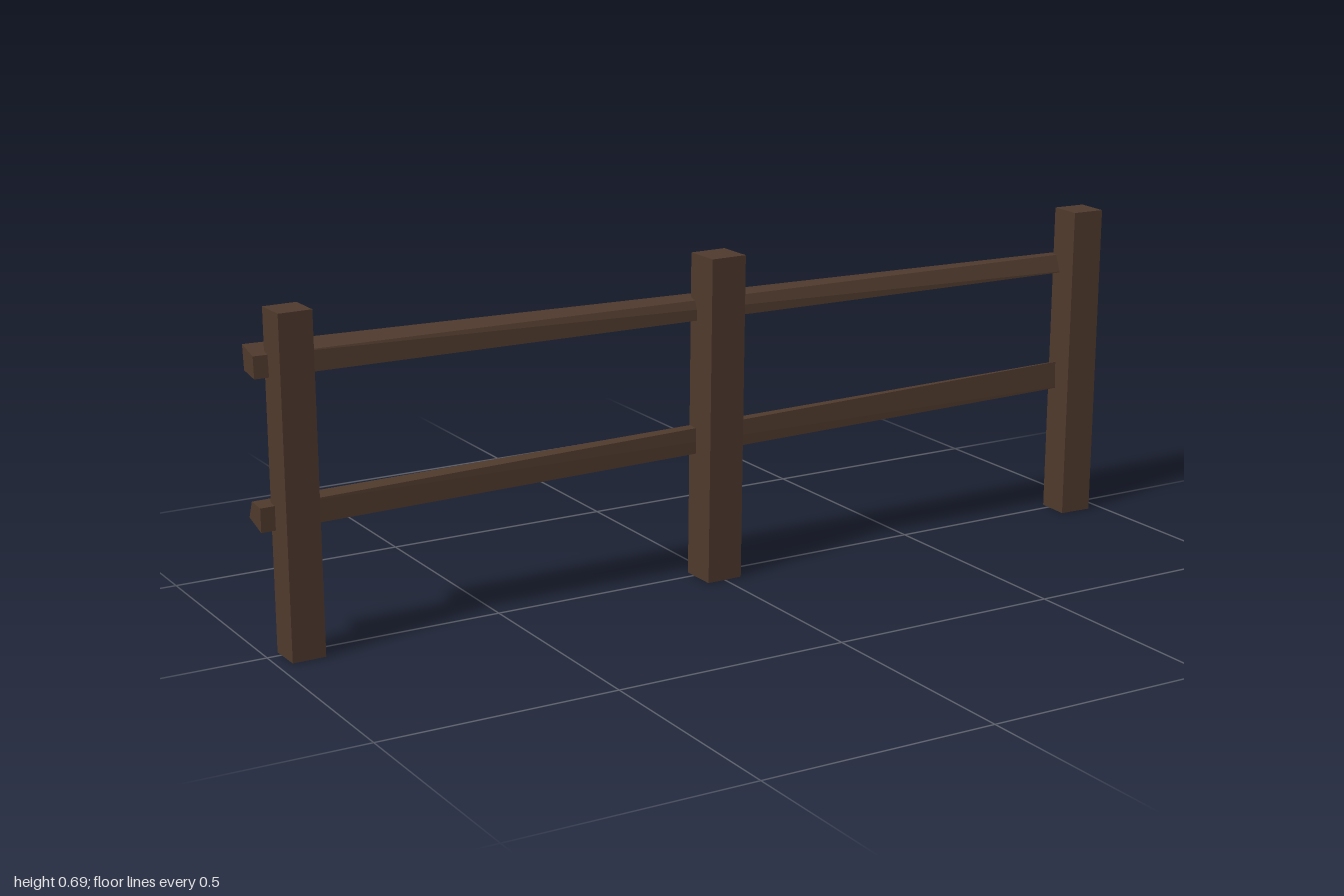
import * as THREE from 'three';

// Four-sided beam between two quads of [x, y, z] corners,
// ordered counter-clockwise about the direction from start to end.
function beam(name, start, end, material) {
  const pos = [];
  const quad = (a, b, c, d) => pos.push(...a, ...b, ...c, ...a, ...c, ...d);
  for (let i = 0; i < 4; i++) {
    const j = (i + 1) % 4;
    quad(start[i], start[j], end[j], end[i]);
  }
  quad(...end);
  quad(...[...start].reverse());
  const geometry = new THREE.BufferGeometry();
  geometry.setAttribute('position', new THREE.Float32BufferAttribute(pos, 3));
  geometry.computeVertexNormals();
  const mesh = new THREE.Mesh(geometry, material);
  mesh.name = name;
  return mesh;
}

export function createModel() {
  const group = new THREE.Group();
  group.name = 'fence';
  const wood = new THREE.MeshStandardMaterial({ color: 0x4f3a2d });
  wood.name = 'dark wood';

  // Posts: slightly leaning and twisted, footprint given at ground and top
  const ring = (cx, y, cz, w, d, twist) =>
    [[-1, -1], [-1, 1], [1, 1], [1, -1]].map(([sx, sz]) => {
      const x = sx * w / 2, z = sz * d / 2;
      return [cx + x * Math.cos(twist) + z * Math.sin(twist), y,
        cz - x * Math.sin(twist) + z * Math.cos(twist)];
    });
  const posts = [
    ['rightPost', -0.935, -0.935, 0.017, 0.07, 0.073, 0.02],
    ['middlePost', -0.001, 0.009, 0.017, 0.08, 0.082, 0.02],
    ['leftPost', 0.935, 0.941, 0.018, 0.073, 0.074, -0.05],
  ];
  for (const [name, x0, x1, z, w, d, twist] of posts) {
    group.add(beam(name, ring(x0, 0, z, w, d, twist), ring(x1, 0.69, z, w, d, twist), wood));
  }

  // Rails: [z, y] corners top front, bottom front, bottom back, top back
  const rails = [
    ['topRail',
      [[-0.003, 0.6], [0, 0.556], [-0.05, 0.563], [-0.055, 0.613]],
      [[-0.01, 0.584], [0.005, 0.547], [-0.038, 0.543], [-0.056, 0.578]]],
    ['lowerRail',
      [[0, 0.302], [0, 0.253], [-0.058, 0.269], [-0.042, 0.305]],
      [[0.003, 0.344], [0.007, 0.284], [-0.058, 0.284], [-0.038, 0.331]]],
  ];
  const at = (x, section) => section.map(([z, y]) => [x, y, z]);
  for (const [name, a, b] of rails) group.add(beam(name, at(-1, a), at(1, b), wood));

  return group;
}
